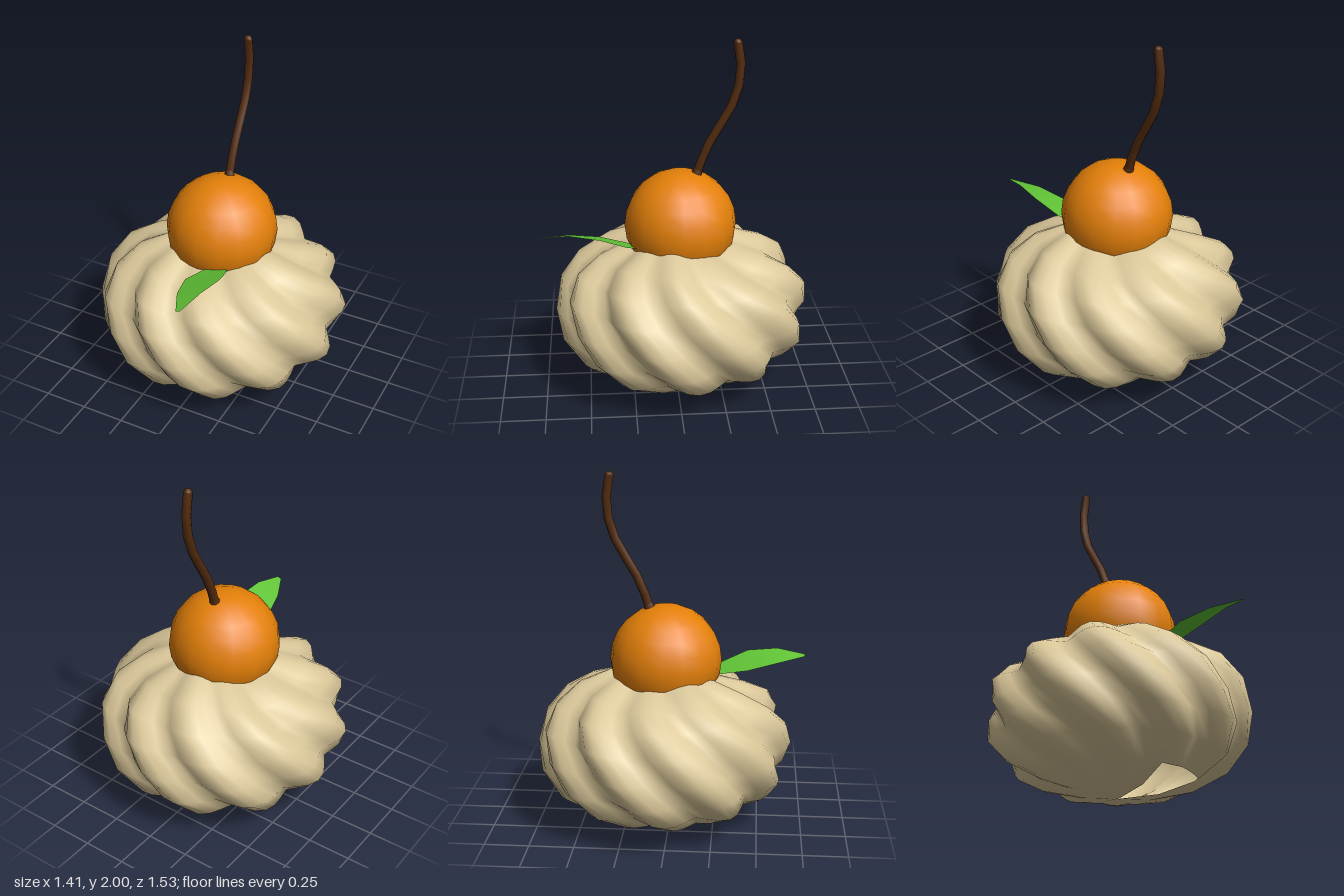
import * as THREE from 'three';
import { mergeGeometries, mergeVertices } from 'three/addons/utils/BufferGeometryUtils.js';

const mat = (name, color, side = THREE.FrontSide) => {
  const m = new THREE.MeshStandardMaterial({ color, side });
  m.name = name;
  return m;
};

function part(name, geometry, material) {
  const mesh = new THREE.Mesh(geometry, material);
  mesh.name = name;
  return mesh;
}

// Lathed dollop pinched into ten lobes that twist with height; the base is open at the front
function creamGeometry() {
  const lobes = 10, depth = 0.105, midY = 0.43, twist = 1.3, turn = 0.07;
  const profile = [
    [0, 0], [0.22, 0.025], [0.43, 0.08], [0.61, 0.18], [0.705, 0.31], [0.728, 0.45], [0.705, 0.6],
    [0.62, 0.725], [0.48, 0.825], [0.31, 0.885], [0.18, 0.87], [0, 0.83],
  ].map(([r, y]) => new THREE.Vector2(r, y));
  const deg = Math.PI / 180;
  let geo = mergeGeometries([
    new THREE.LatheGeometry(profile.slice(2), 60),
    new THREE.LatheGeometry(profile.slice(0, 3), 50, 18 * deg, 300 * deg),
  ]);
  const pos = geo.attributes.position;
  const v = new THREE.Vector3();
  for (let i = 0; i < pos.count; i++) {
    v.fromBufferAttribute(pos, i);
    const r = Math.hypot(v.x, v.z);
    const phi = Math.atan2(v.x, v.z);
    // Grooves fade out towards both poles
    const c = Math.abs(Math.cos(phi * lobes / 2));
    const groove = 1 - (c + c * c) / 2;
    const k = 1 - depth * groove * Math.min(1, (r / 0.62) ** 1.7);
    const a = phi - twist * (v.y - midY) + turn;
    // The top rim rises and dips in three broad waves
    const rim = THREE.MathUtils.smoothstep(v.y, 0.65, 0.88) * Math.min(1, r / 0.3);
    const dip = 0.023 * rim * (1 - Math.cos(3 * (a - 70 * deg)));
    pos.setXYZ(i, r * k * Math.sin(a), midY + (v.y - midY) * k - dip, r * k * Math.cos(a));
  }
  geo.deleteAttribute('uv');
  geo.deleteAttribute('normal');
  geo = mergeVertices(geo, 1e-3);
  geo.computeVertexNormals();
  return geo;
}

// Strip of cross-sections, each [left x, left y, right x, right y, z]
function leafGeometry() {
  const rows = [
    [0.07, 0.835, 0.15, 0.855, 0.2],
    [0.035, 0.85, 0.18, 0.88, 0.28],
    [0.01, 0.88, 0.217, 0.943, 0.43],
    [0.055, 0.915, 0.197, 0.965, 0.6],
    [0.135, 0.935, 0.16, 0.943, 0.758],
  ];
  const points = [], index = [];
  rows.forEach(([lx, ly, rx, ry, z], i) => {
    points.push(lx, ly, z, rx, ry, z);
    if (i) {
      const a = 2 * (i - 1);
      index.push(a, a + 2, a + 1, a + 1, a + 2, a + 3);
    }
  });
  const geo = new THREE.BufferGeometry();
  geo.setAttribute('position', new THREE.Float32BufferAttribute(points, 3));
  geo.setIndex(index);
  geo.computeVertexNormals();
  return geo;
}

export function createModel() {
  const creamColor = mat('cream', 0xdcc99b, THREE.DoubleSide);
  const orange = mat('orange fruit', 0xe48009);
  const brown = mat('brown stem', 0x522b0e);
  const green = mat('leaf green', 0x61c436, THREE.DoubleSide);
  const group = new THREE.Group();
  group.name = 'creamDollopWithFruit';

  const cream = part('creamSwirl', creamGeometry(), creamColor);
  cream.position.z = -0.04;

  const fruit = part('fruit', new THREE.SphereGeometry(0.316, 16, 12), orange);
  fruit.position.set(0, 0.945, -0.03);

  // Curved stem with a flared foot and rounded tip
  const stem = new THREE.Group();
  stem.name = 'stem';
  const path = new THREE.CatmullRomCurve3([
    [1.2, -0.11], [1.28, -0.133], [1.41, -0.185], [1.65, -0.32], [1.78, -0.353], [1.9, -0.353], [1.98, -0.337],
  ].map(([y, z]) => new THREE.Vector3(0, y, z)));
  const foot = part('stemFoot', new THREE.CylinderGeometry(0.023, 0.036, 0.06, 8), brown);
  foot.position.set(0, 1.245, -0.122);
  foot.rotation.x = -0.32;
  const tip = part('stemTip', new THREE.SphereGeometry(0.024, 8, 6), brown);
  tip.position.set(0, 1.976, -0.338);
  stem.add(part('stemShaft', new THREE.TubeGeometry(path, 7, 0.025, 8), brown), foot, tip);

  group.add(cream, fruit, stem, part('leaf', leafGeometry(), green));
  return group;
}
